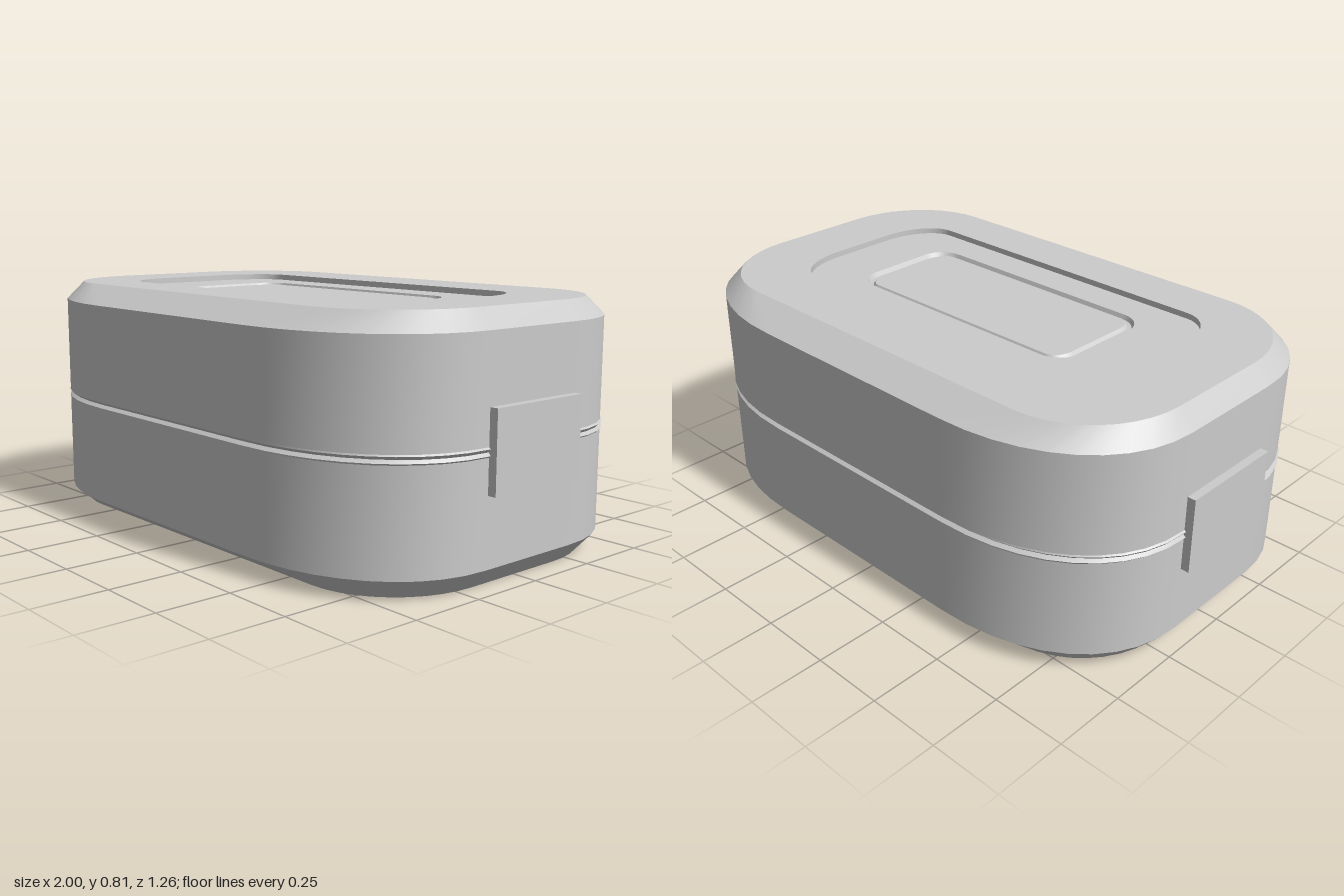
import * as THREE from 'three';

const SEG = 10; // steps per rounded corner

// Rounded outline: half sizes hw/hd, corners start at cx/cz, power n, shifted by dz
function outline({ y, hw, hd, cx, cz, n = 2, dz = 0 }) {
  const pts = [];
  const corner = (sx, sz, reverse) => {
    for (let i = 0; i <= SEG; i++) {
      const t = ((reverse ? SEG - i : i) / SEG) * Math.PI / 2;
      const c = Math.pow(Math.max(0, Math.cos(t)), 2 / n);
      const s = Math.pow(Math.max(0, Math.sin(t)), 2 / n);
      pts.push([sx * (cx + (hw - cx) * c), y, sz * (cz + (hd - cz) * s) + dz]);
    }
  };
  corner(1, 1, false);
  corner(-1, 1, true);
  corner(-1, -1, false);
  corner(1, -1, true);
  return pts;
}

// Skin between outlines, listed bottom to top; every band keeps crisp edges
function loft(rings) {
  const pos = [], index = [];
  for (let k = 0; k + 1 < rings.length; k++) {
    const low = outline(rings[k]), high = outline(rings[k + 1]);
    const n = low.length, base = pos.length / 3;
    pos.push(...low.flat(), ...high.flat());
    for (let j = 0; j < n; j++) {
      const a = base + j, b = base + (j + 1) % n;
      index.push(a, a + n, b, b, a + n, b + n);
    }
  }
  const geo = new THREE.BufferGeometry();
  geo.setAttribute('position', new THREE.Float32BufferAttribute(pos, 3));
  geo.setIndex(index);
  geo.computeVertexNormals();
  return geo;
}

export function createModel() {
  const group = new THREE.Group();
  const mat = new THREE.MeshStandardMaterial({ color: 0xcccccc });
  const add = (name, geo) => {
    const mesh = new THREE.Mesh(geo, mat);
    mesh.name = name;
    group.add(mesh);
    return mesh;
  };

  const H = 0.815, MID = 0.41, DZ = 0.022;
  const wall = (y, hw = 0.972, hd = 0.632) => ({ y, hw, hd, cx: 0.4, cz: 0.19, n: 2.2 });
  const rim = (y) => ({ y, hw: 0.917, hd: 0.527, cx: 0.6, cz: 0.19 });
  const recess = (y) => ({ y, hw: 0.692, hd: 0.325, cx: 0.56, cz: 0.12, dz: DZ });
  const groove = (y, d) => ({ y, hw: 0.478 - d, hd: 0.207 - d * 0.6, cx: 0.39, cz: 0.12, dz: DZ });
  const center = (y) => ({ y, hw: 0, hd: 0, cx: 0, cz: 0, dz: DZ });

  // Face from the bevel edge inward: stepped recess, then a groove around the panel
  const face = (Y) => [
    rim(Y(0)), recess(Y(0)), recess(Y(0.02)),
    groove(Y(0.02), 0), groove(Y(0.035), 0.01), groove(Y(0.035), 0.026),
    groove(Y(0.025), 0.036), center(Y(0.025)),
  ];

  // Lower shell up to the middle of the seam
  add('lowerShell', loft([
    ...face((d) => d).reverse(),
    wall(0.065), wall(0.395), wall(0.4, 0.978, 0.632), wall(MID, 0.97, 0.621),
  ]));

  // Upper shell from the middle of the seam
  add('upperShell', loft([
    wall(MID, 0.97, 0.621), wall(0.42, 0.978, 0.632), wall(0.425), wall(0.755),
    ...face((d) => H - d),
  ]));

  // Flat clasps over the seam at both ends
  for (const [name, side] of [['leftClasp', 1], ['rightClasp', -1]]) {
    const clasp = add(name, new THREE.BoxGeometry(0.035, 0.255, 0.38));
    clasp.position.set(side * 0.9825, 0.412, 0);
  }
  return group;
}
